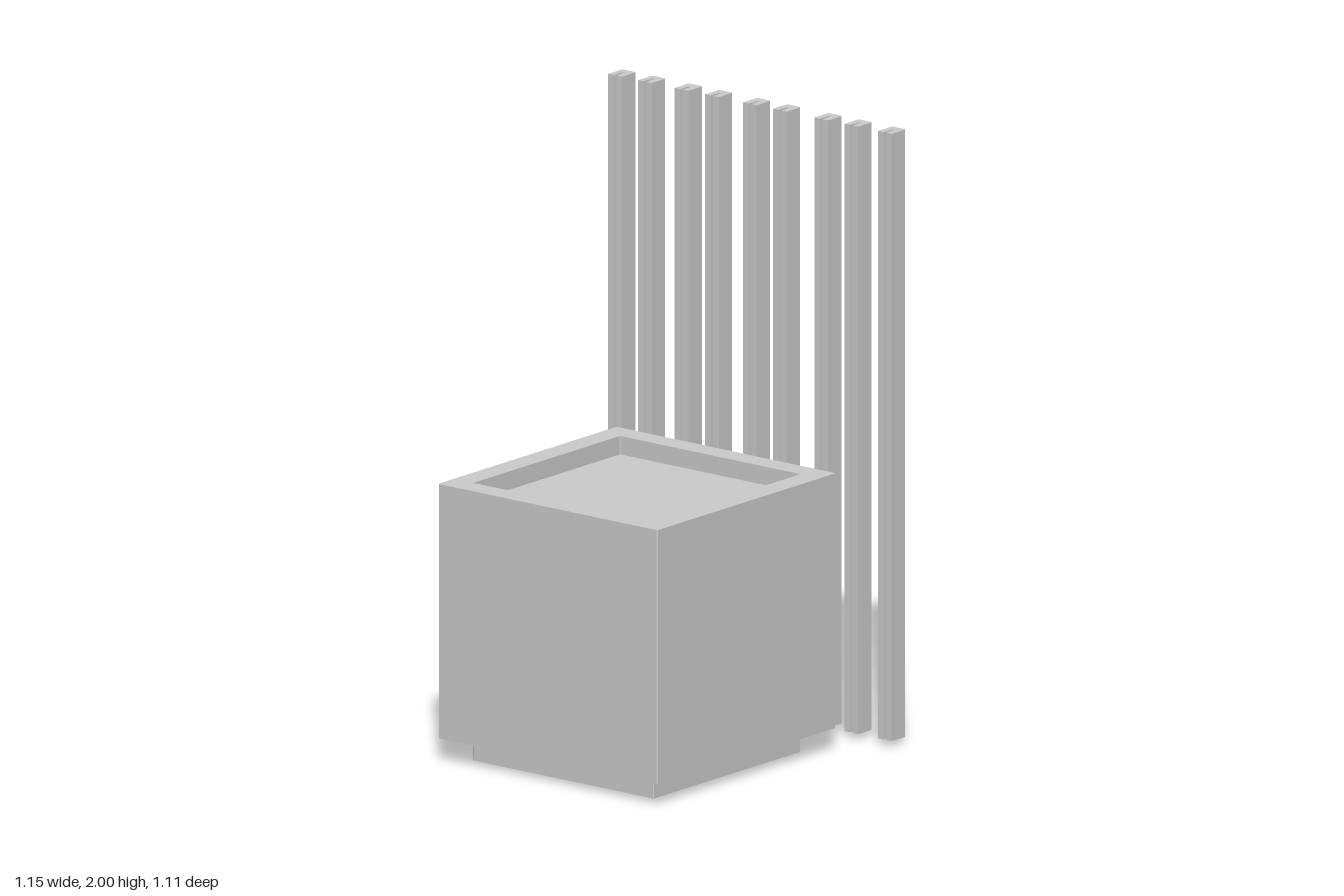
import * as THREE from 'three';

const grey = new THREE.MeshStandardMaterial({ color: 0xcccccc, side: THREE.DoubleSide, flatShading: true });

// Extrudes a plan outline upwards; shape y points towards the back (-z)
function upright(shape, y0, y1, name) {
  const geo = new THREE.ExtrudeGeometry(shape, { depth: y1 - y0, bevelEnabled: false, curveSegments: 4 });
  geo.rotateX(-Math.PI / 2);
  const mesh = new THREE.Mesh(geo, grey);
  mesh.position.y = y0;
  mesh.name = name;
  return mesh;
}

// Square outline with tiny chamfered corners
function square(h, c) {
  return [[-h + c, -h], [h - c, -h], [h, -h + c], [h, h - c], [h - c, h], [-h + c, h], [-h, h - c], [-h, -h + c]]
    .map(([x, y]) => new THREE.Vector2(x, y));
}

export function createModel() {
  const model = new THREE.Group();
  model.name = 'planterWithScreen';

  // Planter: thick outer shell around a liner that reaches the ground
  const planter = new THREE.Group();
  planter.name = 'planter';
  planter.position.set(0.02, 0, 0.105);
  model.add(planter);

  const outer = 0.445, inner = 0.366, soilY = 0.845;
  const shell = new THREE.Shape(square(outer, 0.004));
  shell.holes.push(new THREE.Path(square(inner, 0.002)));
  planter.add(upright(shell, 0.075, 0.905, 'shell'));

  // Thin liner, open underneath, forming the plinth
  const liner = new THREE.Shape(square(inner, 0.002));
  liner.holes.push(new THREE.Path(square(inner - 0.003, 0.002)));
  planter.add(upright(liner, 0, soilY, 'plinthLiner'));

  // Recessed surface closing the top of the liner
  planter.add(upright(new THREE.Shape(square(inner, 0.002)), soilY - 0.004, soilY, 'soil'));

  // Slat section: upright bar with a tapered, round-ended groove in its front
  const w = 0.028, d = 0.071, c = 0.004;
  const section = new THREE.Shape();
  section.moveTo(-w, 0);
  section.lineTo(-0.006, 0);
  section.lineTo(-0.004, 0.042);
  section.absarc(0, 0.042, 0.004, Math.PI, 0, true);
  section.lineTo(0.006, 0);
  section.lineTo(w, 0);
  section.lineTo(w, d - c);
  section.lineTo(w - c, d);
  section.lineTo(-w + c, d);
  section.lineTo(-w, d - c);
  section.closePath();

  // Irregularly spaced row of slats behind the planter
  const screen = new THREE.Group();
  screen.name = 'slatScreen';
  screen.position.z = -0.484;
  for (const x of [-0.548, -0.427, -0.278, -0.155, -0.001, 0.121, 0.289, 0.411, 0.547]) {
    const slat = upright(section, 0.02, 2, 'slat');
    slat.position.x = x;
    screen.add(slat);
  }
  model.add(screen);
  return model;
}
